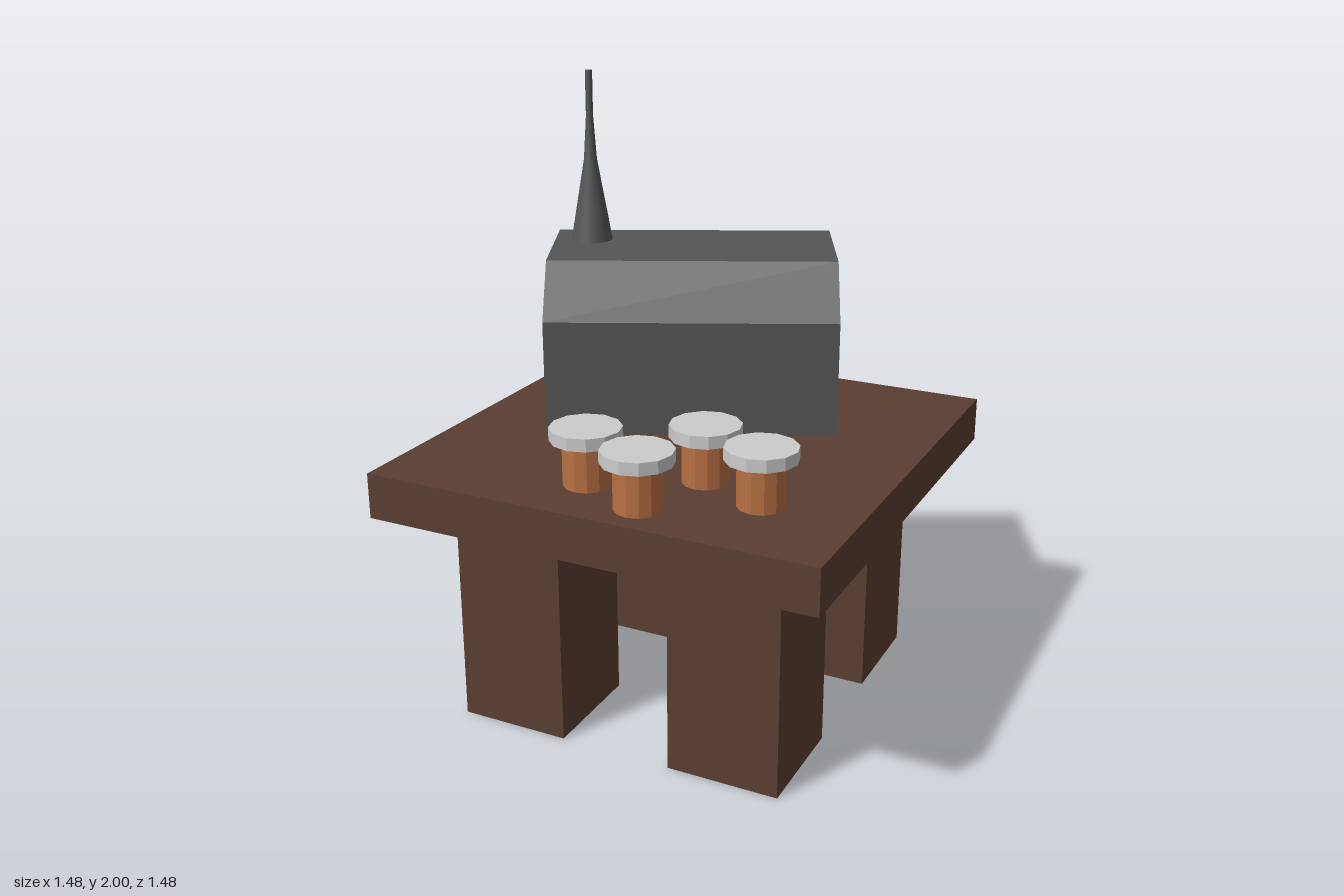
import * as THREE from 'three';

const mat = (color) => new THREE.MeshStandardMaterial({ color, flatShading: true });

function add(parent, name, geometry, material, x = 0, y = 0, z = 0) {
  const mesh = new THREE.Mesh(geometry, material);
  mesh.name = name;
  mesh.position.set(x, y, z);
  parent.add(mesh);
  return mesh;
}

export function createModel() {
  const model = new THREE.Group();
  const wood = mat(0x5a3e31);
  const iron = mat(0x555555);
  const copper = mat(0xb87044);
  const pale = mat(0xcccccc);

  // Table: slab on four square legs
  const tableTop = 0.886;
  const table = new THREE.Group();
  table.name = 'table';
  model.add(table);
  add(table, 'tableTop', new THREE.BoxGeometry(1.484, 0.148, 1.484), wood, 0, 0.812, 0);
  for (const x of [-1, 1]) {
    for (const z of [-1, 1]) {
      add(table, 'leg', new THREE.BoxGeometry(0.368, 0.738, 0.368), wood, x * 0.371, 0.369, z * 0.371);
    }
  }

  // Turned block with a sloping front, extruded from its side outline
  const length = 0.948;
  const side = new THREE.Shape([
    [-0.297, 0], [0.297, 0], [0.297, 0.379], [0.145, 0.544], [-0.297, 0.544],
  ].map(([x, y]) => new THREE.Vector2(x, y)));
  const block = new THREE.ExtrudeGeometry(side, { depth: length, bevelEnabled: false });
  block.translate(0, 0, -length / 2).rotateY(-Math.PI / 2);
  const machine = new THREE.Group();
  machine.name = 'machine';
  machine.position.set(-0.125, tableTop, -0.26);
  machine.rotation.y = THREE.MathUtils.degToRad(25);
  model.add(machine);
  add(machine, 'body', block, iron);

  // Tapering chimney, smooth around its axis
  const profile = [[0.07, 0], [0.022, 0.275], [0.012, 0.42], [0.012, 0.57]];
  const chimneyIron = new THREE.MeshStandardMaterial({ color: 0x555555 });
  const chimney = new THREE.LatheGeometry(profile.map(([r, y]) => new THREE.Vector2(r, y)), 24);
  add(model, 'chimney', chimney, chimneyIron, -0.51, 1.43, -0.26);
  const cap = new THREE.CircleGeometry(0.012, 24).rotateX(-Math.PI / 2);
  add(model, 'chimneyCap', cap, iron, -0.51, 2, -0.26);

  // Four lidded pots
  for (const [x, z] of [[-0.098, 0.517], [0.125, 0.611], [0.212, 0.341], [0.435, 0.435]]) {
    const pot = new THREE.Group();
    pot.name = 'pot';
    pot.position.set(x, tableTop, z);
    add(pot, 'jar', new THREE.CylinderGeometry(0.073, 0.073, 0.146, 12), copper, 0, 0.073, 0);
    add(pot, 'lid', new THREE.CylinderGeometry(0.111, 0.111, 0.04, 12), pale, 0, 0.165, 0);
    model.add(pot);
  }

  return model;
}
